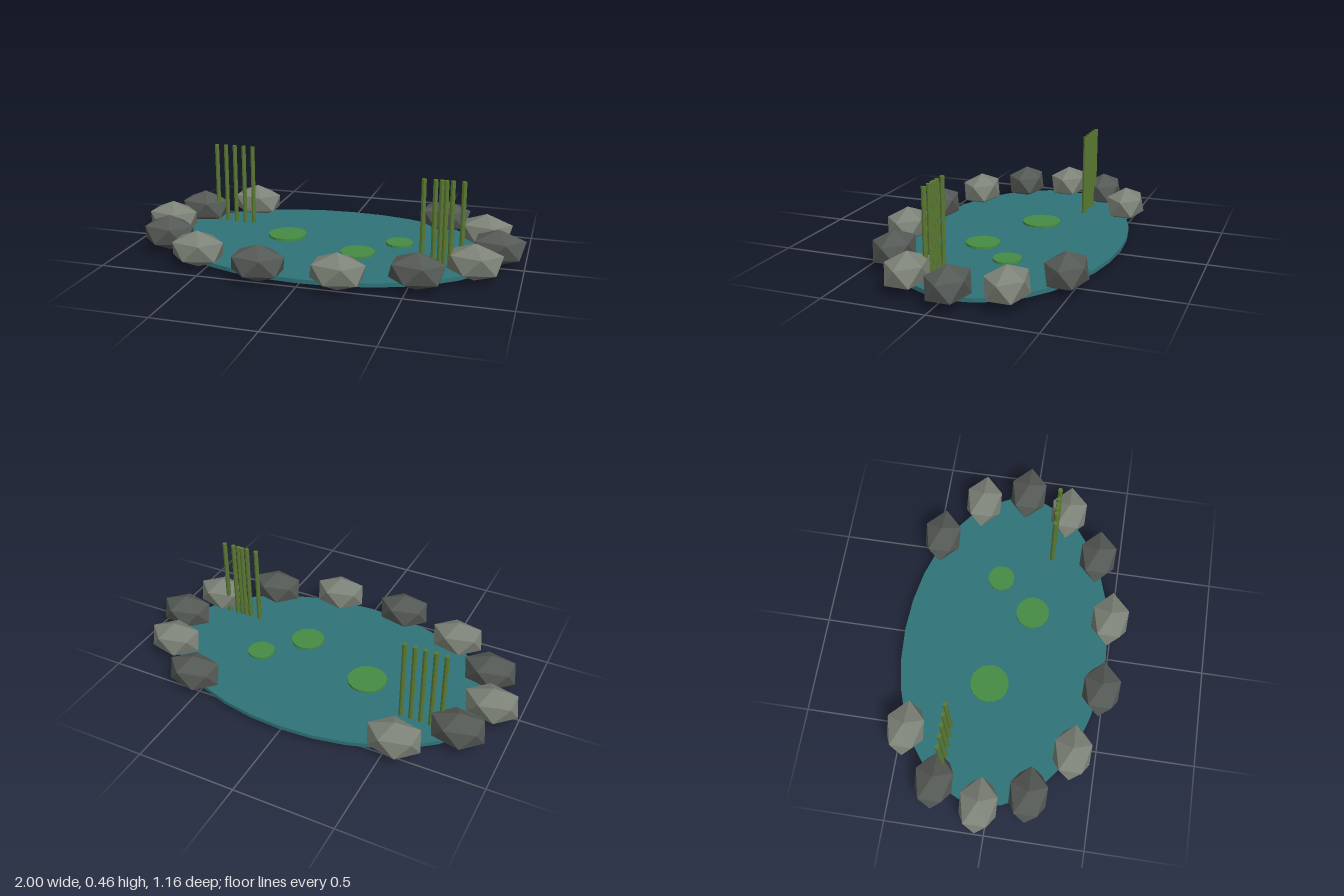
import * as THREE from 'three';

const material = (color) => new THREE.MeshStandardMaterial({ color, flatShading: true });

export function createModel() {
  const pond = new THREE.Group();
  pond.name = 'pond';
  const centreZ = -0.045;

  const add = (name, geometry, mat, x, y, z) => {
    const mesh = new THREE.Mesh(geometry, mat);
    mesh.name = name;
    mesh.position.set(x, y, z);
    pond.add(mesh);
    return mesh;
  };

  // Oval sheet of water
  const water = add('water', new THREE.CylinderGeometry(1, 1, 0.02, 32), material(0x2f7378), 0, 0.025, centreZ);
  water.scale.set(0.86, 1, 0.535);

  // Ring of rocks, open at the back: icosahedra standing on a corner, stretched sideways
  const rockGeometry = new THREE.IcosahedronGeometry(1, 0);
  rockGeometry.rotateZ(-Math.atan(2 / (1 + Math.sqrt(5))));
  rockGeometry.scale(0.149, 0.0925, 0.109);
  const darkStone = material(0x555955);
  const lightStone = material(0x7d8378);
  const count = 14;
  for (let i = 0; i < count; i++) {
    if (i === 10 || i === 11) continue;
    const a = (i / count) * Math.PI * 2;
    add('rock', rockGeometry, i % 2 ? lightStone : darkStone,
      0.867 * Math.cos(a), 0.0925, centreZ + 0.542 * Math.sin(a));
  }

  // Floating lily pads: x, z, radius
  const padMaterial = material(0x468c46);
  for (const [x, z, r] of [[-0.235, -0.09, 0.1], [0.187, 0.075, 0.087], [0.36, -0.12, 0.07]]) {
    add('lilyPad', new THREE.CylinderGeometry(r, r, 0.014, 16), padMaterial, x, 0.04, z);
  }

  // Two rows of reeds
  const reedGeometry = new THREE.CylinderGeometry(0.012, 0.012, 0.435, 8);
  const reedMaterial = material(0x5a7832);
  const rows = [
    { z: -0.25, xs: [-0.69, -0.638, -0.587, -0.536, -0.485] },
    { z: 0.135, xs: [0.52, 0.575, 0.605, 0.627, 0.657, 0.71] },
  ];
  for (const { z, xs } of rows) {
    for (const x of xs) add('reed', reedGeometry, reedMaterial, x, 0.2445, z);
  }

  return pond;
}
